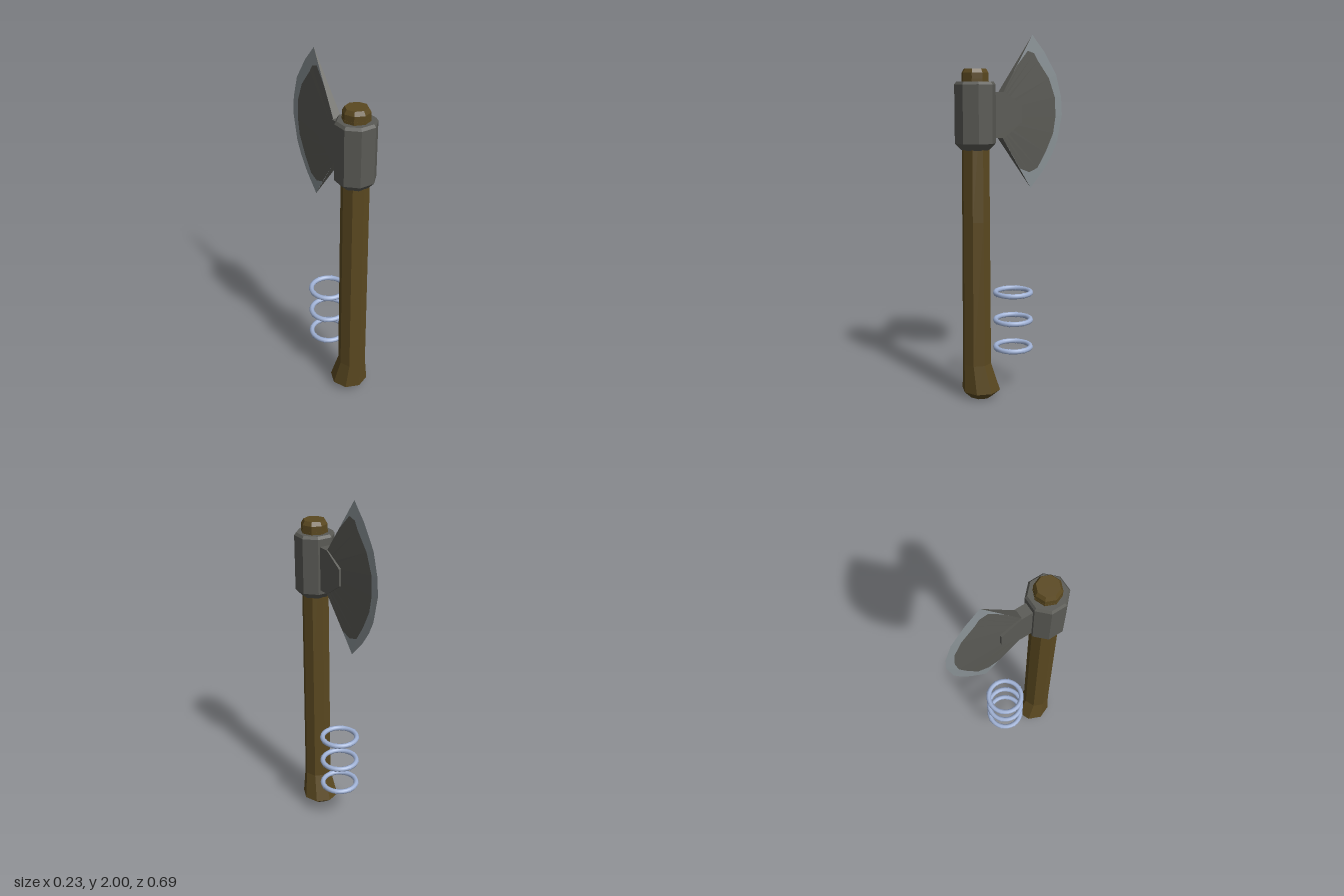
import * as THREE from 'three';

const mat = (name, color) => Object.assign(new THREE.MeshStandardMaterial({ color }), { name });
const HANDLE_Z = 0.243;

// Facets a geometry so that every face is flat
function faceted(geometry) {
  const g = geometry.index ? geometry.toNonIndexed() : geometry;
  g.computeVertexNormals();
  return g;
}

// Octagonal column through rows of [y, radius, centre z], listed bottom to top
function octColumn(rows, turn = 0) {
  const n = rows.length - 1;
  const g = new THREE.CylinderGeometry(1, 1, 1, 8, n, false, turn);
  const p = g.attributes.position;
  for (let i = 0; i < p.count; i++) {
    const [y, r, z = HANDLE_Z] = rows[Math.round((p.getY(i) + 0.5) * n)];
    p.setXYZ(i, p.getX(i) * r, y, p.getZ(i) * r + z);
  }
  return faceted(g);
}

// Geometry from triangles and quads given as lists of corners
function fromFaces(faces) {
  const pos = [];
  for (const f of faces) {
    for (let k = 1; k < f.length - 1; k++) pos.push(...f[0], ...f[k], ...f[k + 1]);
  }
  const g = new THREE.BufferGeometry();
  g.setAttribute('position', new THREE.Float32BufferAttribute(pos, 3));
  return faceted(g);
}

// Wedge blade: a thick root line thinning to a sharp curved rim
function bladeGeometries() {
  const rootX = 0.025, rootZ = 0.083, top = 1.685, bottom = 1.44;
  // [inner z, inner y, rim z, rim y], top to bottom
  const rows = [
    [-0.015, 1.829, -0.13, 2.0],
    [-0.095, 1.913, -0.13, 2.0],
    [-0.14, 1.9, -0.17, 1.955],
    [-0.165, 1.86, -0.21, 1.913],
    [-0.243, 1.765, -0.296, 1.786],
    [-0.286, 1.66, -0.333, 1.66],
    [-0.292, 1.553, -0.34, 1.56],
    [-0.275, 1.457, -0.307, 1.41],
    [-0.222, 1.351, -0.27, 1.335],
    [-0.165, 1.265, -0.21, 1.25],
    [-0.105, 1.245, -0.12, 1.155],
    [-0.04, 1.27, -0.12, 1.155],
  ].map(([iz, iy, rz, ry], i, all) => {
    const y = top + (bottom - top) * i / (all.length - 1);
    const x = rootX * Math.hypot(rz - iz, ry - iy) / Math.hypot(rz - rootZ, ry - y);
    return { root: [rootX, y, rootZ], inner: [x, iy, iz], rim: [0, ry, rz] };
  });
  const flip = ([x, y, z]) => [-x, y, z];
  const body = [], edge = [];
  const both = (list, quad) => list.push(quad, quad.map(flip).reverse());
  for (let i = 0; i < rows.length - 1; i++) {
    const a = rows[i], b = rows[i + 1];
    both(body, [a.root, b.root, b.inner, a.inner]);
    both(edge, [a.inner, b.inner, b.rim, a.rim]);
  }
  // Upper and lower narrow faces, and the back
  const a = rows[0], b = rows[rows.length - 1];
  body.push([a.root, a.rim, flip(a.root)], [flip(b.root), b.rim, b.root]);
  body.push([flip(b.root), b.root, a.root, flip(a.root)]);
  return { body: fromFaces(body), edge: fromFaces(edge) };
}

export function createModel() {
  const model = new THREE.Group();
  model.name = 'axe';
  const wood = mat('dark wood', 0x5a4820);
  const steel = mat('dark steel', 0x5a5a55);
  const sharp = mat('sharpened steel', 0x8a9296);
  const ringMetal = mat('pale blue metal', 0xa0b2d6);
  const add = (name, geometry, material, parent = model) => {
    const mesh = new THREE.Mesh(geometry, material);
    mesh.name = name;
    parent.add(mesh);
    return mesh;
  };

  // Handle with a flared foot leaning to the back
  add('handle', octColumn([
    [0, 0.062, 0.22], [0.04, 0.108, 0.217], [0.2, 0.08, 0.244],
    [1.0, 0.077], [1.76, 0.074],
  ]), wood);
  add('handleCap', octColumn([[1.73, 0.073], [1.79, 0.073], [1.812, 0.06]]), wood);

  // Eight-sided collar around the handle
  add('collar', octColumn([
    [1.385, 0.078], [1.42, 0.111], [1.73, 0.111], [1.745, 0.1],
  ], Math.PI / 8), steel);

  // Neck plate joining the collar and the blade, drawn in (-z, y)
  const neck = new THREE.Shape([
    [-0.16, 1.445], [-0.075, 1.445], [0.04, 1.525], [0.04, 1.62], [-0.075, 1.69], [-0.16, 1.69],
  ].map(([x, y]) => new THREE.Vector2(x, y)));
  const neckGeometry = new THREE.ExtrudeGeometry(neck, { depth: 0.062, bevelEnabled: false });
  neckGeometry.translate(0, 0, -0.031).rotateY(Math.PI / 2);
  add('neck', neckGeometry, steel);

  const blade = bladeGeometries();
  add('blade', blade.body, steel);
  add('cuttingEdge', blade.edge, sharp);

  // Three loose rings, each with eight slightly raised joints
  const ringGeometry = new THREE.TorusGeometry(0.1, 0.0145, 8, 32);
  const jointGeometry = new THREE.TorusGeometry(0.1, 0.0168, 8, 1, 0.07);
  for (const y of [0.245, 0.405, 0.565]) {
    const ring = new THREE.Group();
    ring.name = 'ring';
    ring.position.y = y;
    ring.rotation.x = Math.PI / 2;
    add('ringBand', ringGeometry, ringMetal, ring);
    for (let i = 0; i < 8; i++) {
      add('ringJoint', jointGeometry, ringMetal, ring).rotation.z = i * Math.PI / 4 - 0.035;
    }
    model.add(ring);
  }
  return model;
}
